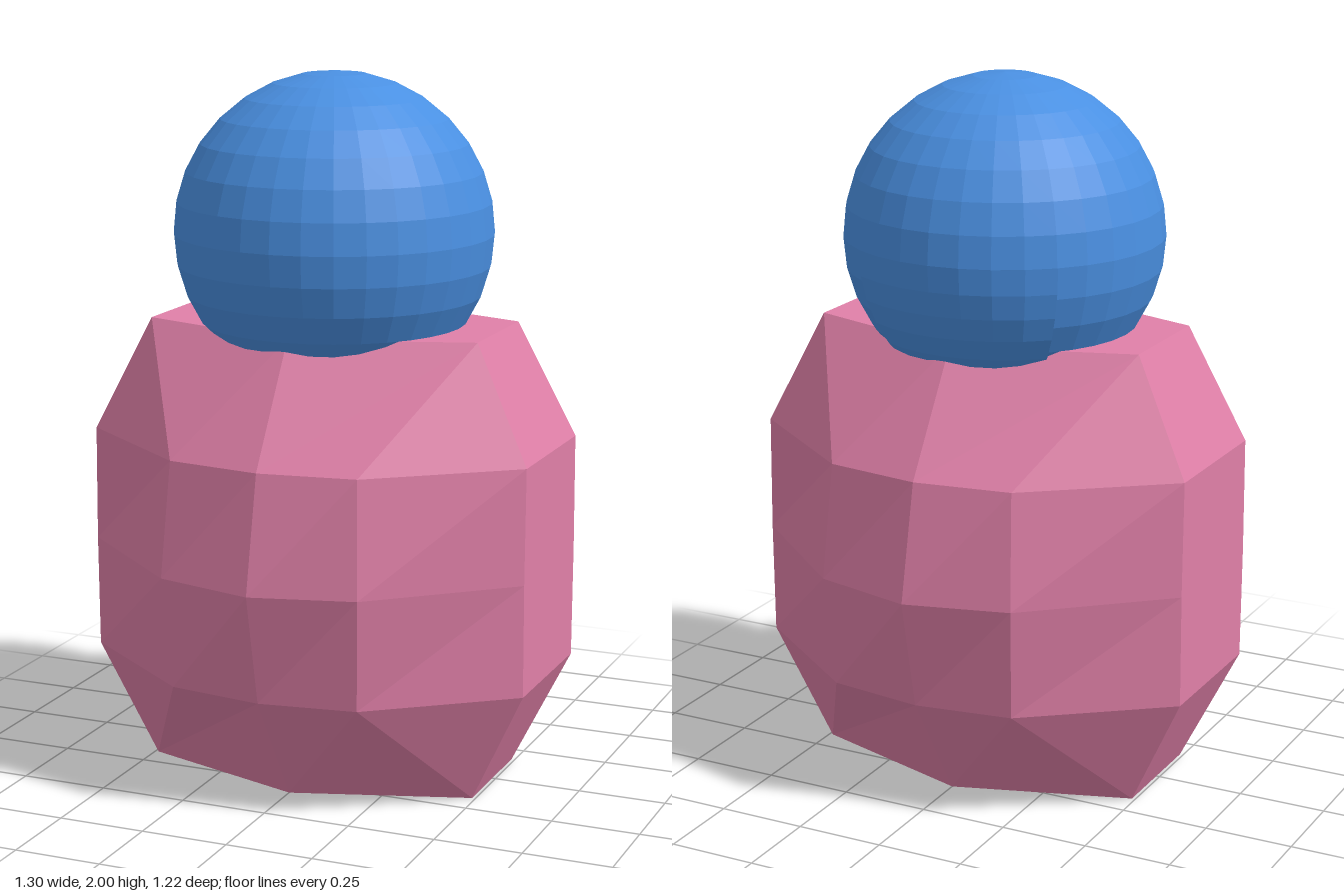
import * as THREE from 'three';

// Ten-point ring, symmetric in x and z: side corner, cheek point, centre point
function ring(y, [sx, sz], [cx, cz], mz) {
  return [
    [sx, sz], [cx, cz], [0, mz], [-cx, cz], [-sx, sz],
    [-sx, -sz], [-cx, -cz], [0, -mz], [cx, -cz], [sx, -sz],
  ].map(([x, z]) => [x, y, z]);
}

// Skin stacked rings and close both ends
function loft(rings) {
  const n = rings[0].length, last = rings.length - 1;
  const points = [...rings.flat(), [0, rings[0][0][1], 0], [0, rings[last][0][1], 0]];
  const low = n * rings.length, high = low + 1;
  const index = [];
  for (let i = 0; i < n; i++) {
    const j = (i + 1) % n;
    for (let r = 0; r < last; r++) {
      const a = r * n + i, b = r * n + j, c = a + n, d = b + n;
      // Split toward the narrow ends so collapsed corners become triangles
      index.push(a, c, b, b, c, d);
    }
    index.push(low, i, j, high, last * n + j, last * n + i);
  }
  const geometry = new THREE.BufferGeometry();
  geometry.setAttribute('position', new THREE.Float32BufferAttribute(points.flat(), 3));
  geometry.setIndex(index);
  geometry.computeVertexNormals();
  return geometry;
}

export function createModel() {
  const pink = new THREE.MeshStandardMaterial({ color: 0xe080a8, flatShading: true });
  pink.name = 'pink';
  const blue = new THREE.MeshStandardMaterial({ color: 0x4a90e2, flatShading: true, side: THREE.DoubleSide });
  blue.name = 'blue';

  const model = new THREE.Group();
  const add = (name, geometry, material, y = 0) => {
    const mesh = new THREE.Mesh(geometry, material);
    mesh.name = name;
    mesh.position.y = y;
    model.add(mesh);
  };

  // Faceted body with six-sided flat ends
  const end = (y) => ring(y, [0.49, 0.17], [0.49, 0.17], 0.33);
  const shoulder = (y) => ring(y, [0.65, 0.215], [0.275, 0.5], 0.54);
  add('body', loft([
    end(0), shoulder(0.33), ring(0.65, [0.65, 0.22], [0.29, 0.535], 0.61), shoulder(0.975), end(1.3),
  ]), pink);

  // Round head sunk into the body
  add('head', new THREE.SphereGeometry(0.45, 32, 16), blue, 1.55);

  // Thin plate on the lower back of the head
  const deg = Math.PI / 180;
  add('headBackPlate',
    new THREE.SphereGeometry(0.456, 7, 5, (270 - 33) * deg, 78 * deg, 90 * deg, 45 * deg), blue, 1.55);

  return model;
}
